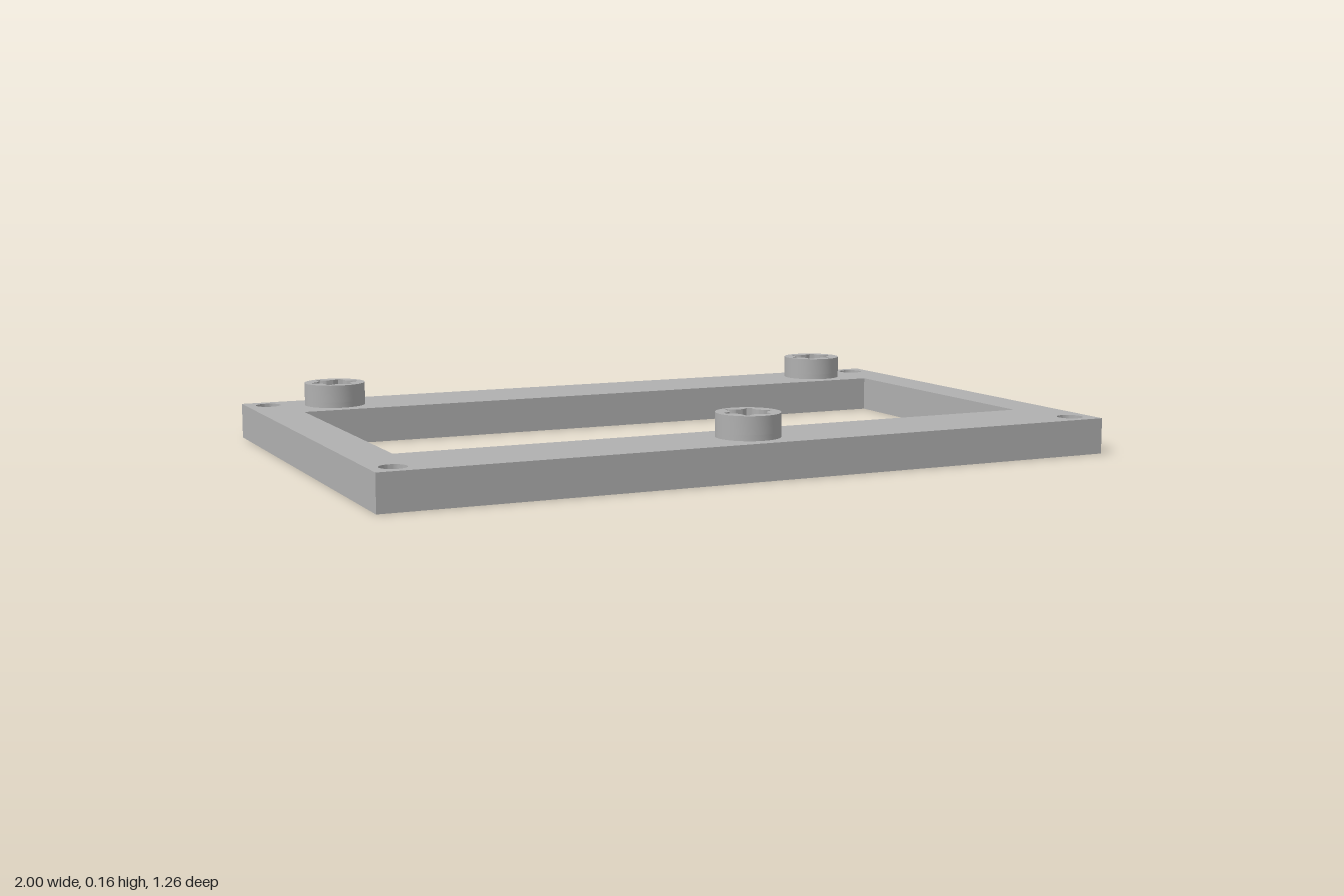
import * as THREE from 'three';
import { toCreasedNormals } from 'three/addons/utils/BufferGeometryUtils.js';

const FRAME_TOP = 0.095, HEAD_TOP = 0.157, POCKET_DEPTH = 0.03, RECESS_FLOOR = 0.11;
const BACK_SCREWS = [[-0.765, -0.515], [0.765, -0.515]];
const SCREWS = [...BACK_SCREWS, [0, 0.51]];

// Shapes are drawn in plan, with shape y = -z
function rect(path, w, d) {
  path.moveTo(-w, -d);
  path.lineTo(w, -d);
  path.lineTo(w, d);
  path.lineTo(-w, d);
  path.closePath();
  return path;
}

function circle(x, z, r, Type = THREE.Path) {
  return new Type().absarc(x, -z, r, 0, Math.PI * 2, false);
}

// Square pocket with rounded relief at each corner
function pocket(x, z, h = 0.08, r = 0.02) {
  const path = new THREE.Path();
  for (let k = 0; k < 4; k++) {
    const a = Math.PI / 4 + k * Math.PI / 2;
    const cx = x + h * Math.SQRT2 * Math.cos(a), cy = -z + h * Math.SQRT2 * Math.sin(a);
    path.absarc(cx, cy, r, a - Math.PI * 0.75, a + Math.PI * 0.75, false);
  }
  path.closePath();
  return path;
}

// Six-lobed driver socket
function socket() {
  const path = new THREE.Path();
  const at = (r, a) => [r * Math.cos(a), r * Math.sin(a)];
  const half = 0.1;
  path.moveTo(...at(0.065, -half));
  for (let k = 0; k < 6; k++) {
    const a = k * Math.PI / 3;
    path.lineTo(...at(0.065, a + half));
    path.quadraticCurveTo(...at(0.033, a + Math.PI / 6), ...at(0.065, a + Math.PI / 3 - half));
  }
  return path;
}

function slab(shape, y0, y1) {
  const g = new THREE.ExtrudeGeometry(shape, { depth: y1 - y0, bevelEnabled: false, curveSegments: 24 });
  g.rotateX(-Math.PI / 2);
  g.translate(0, y0, 0);
  return toCreasedNormals(g, 0.6);
}

// Rectangular frame outline with window and corner holes
function frameShape() {
  const shape = rect(new THREE.Shape(), 1, 0.63);
  shape.holes.push(rect(new THREE.Path(), 0.885, 0.393));
  for (const x of [-0.94, 0.94])
    for (const z of [-0.57, 0.57]) shape.holes.push(circle(x, z, 0.034));
  return shape;
}

export function createModel() {
  const model = new THREE.Group();
  const grey = new THREE.MeshStandardMaterial({ color: 0xb0b0b0 });
  grey.name = 'grey metal';
  const add = (name, geometry, parent = model) => {
    const mesh = new THREE.Mesh(geometry, grey);
    mesh.name = name;
    parent.add(mesh);
    return mesh;
  };

  // Lower layer holds the pockets, upper layer the screw holes
  const lower = frameShape();
  for (const [x, z] of BACK_SCREWS) lower.holes.push(pocket(x, z));
  lower.holes.push(circle(0, 0.51, 0.03));
  add('frameUnderside', slab(lower, 0, POCKET_DEPTH));

  const upper = frameShape();
  for (const [x, z] of SCREWS) upper.holes.push(circle(x, z, 0.03));
  add('frameTop', slab(upper, POCKET_DEPTH, FRAME_TOP));

  // Screw heads: solid base below a socketed ring
  const ring = circle(0, 0, 0.083, THREE.Shape);
  ring.holes.push(socket());
  const ringGeometry = slab(ring, RECESS_FLOOR, HEAD_TOP);
  const baseGeometry = slab(circle(0, 0, 0.083, THREE.Shape), FRAME_TOP, RECESS_FLOOR);
  for (const [x, z] of SCREWS) {
    const screw = new THREE.Group();
    screw.name = 'screwHead';
    screw.position.set(x, 0, z);
    add('socketRing', ringGeometry, screw);
    add('headBase', baseGeometry, screw);
    model.add(screw);
  }
  return model;
}
